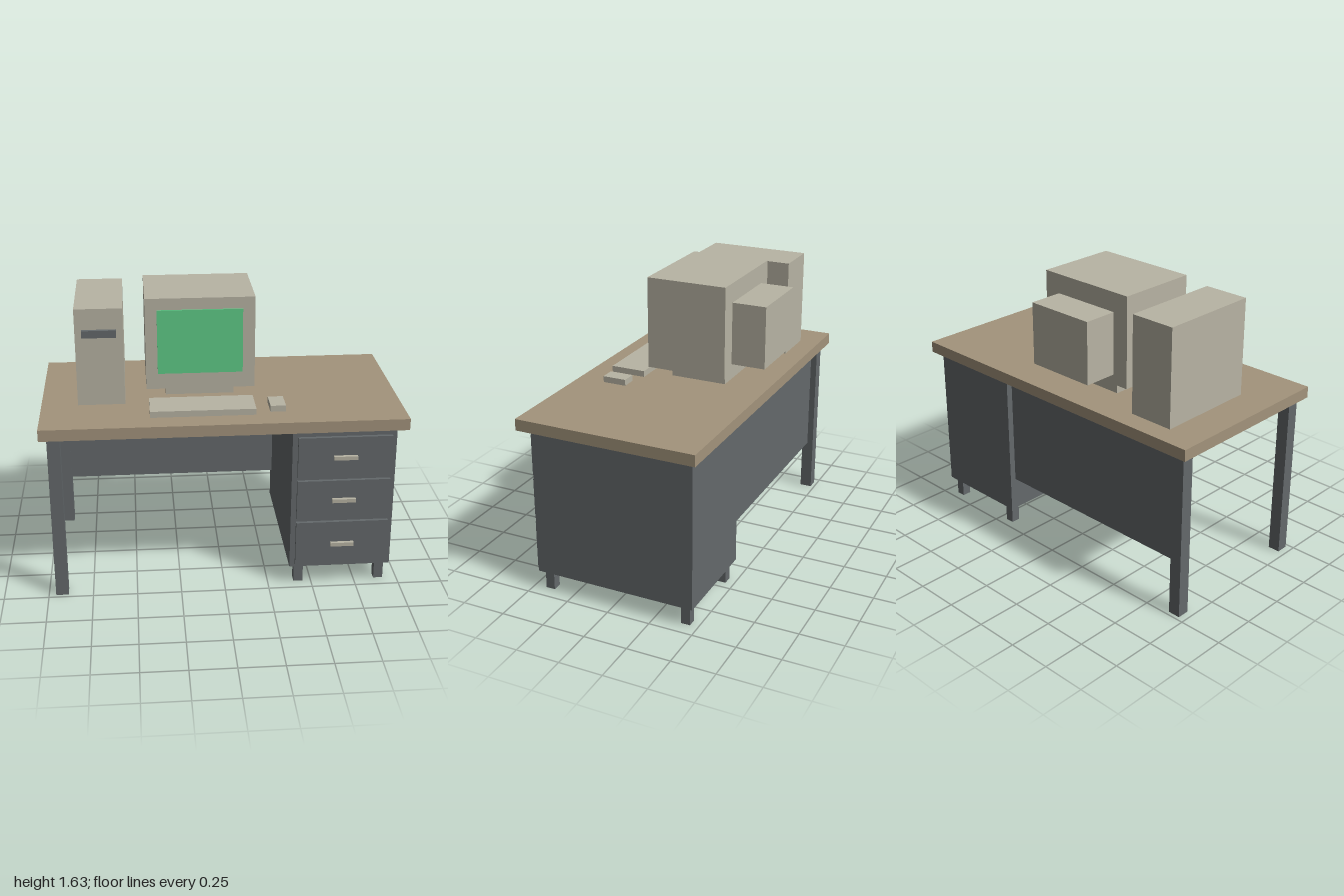
import * as THREE from 'three';

const mat = (name, color) => {
  const m = new THREE.MeshStandardMaterial({ color });
  m.name = name;
  return m;
};

export function createModel() {
  const wood = mat('wood', 0xa3947c);
  const steel = mat('greySteel', 0x64696b);
  const beige = mat('beigePlastic', 0xb8b4a4);
  const green = mat('screenGreen', 0x5fcb87);

  const model = new THREE.Group();
  model.name = 'deskWithComputer';
  const group = (name) => {
    const g = new THREE.Group();
    g.name = name;
    model.add(g);
    return g;
  };

  // Box given by its extents along x, y and z
  const box = (parent, name, material, [x0, x1], [y0, y1], [z0, z1]) => {
    const mesh = new THREE.Mesh(new THREE.BoxGeometry(x1 - x0, y1 - y0, z1 - z0), material);
    mesh.position.set((x0 + x1) / 2, (y0 + y1) / 2, (z0 + z1) / 2);
    mesh.name = name;
    parent.add(mesh);
  };

  const top = 1.035;

  // Desk: top, long legs on the right and a back panel
  const desk = group('desk');
  box(desk, 'deskTop', wood, [-1, 1], [0.97, top], [-0.517, 0.517]);
  box(desk, 'frontLeg', steel, [-0.96, -0.89], [0, 0.97], [0.408, 0.478]);
  box(desk, 'backLeg', steel, [-0.96, -0.89], [0, 0.97], [-0.478, -0.408]);
  box(desk, 'backPanel', steel, [-0.89, 0.37], [0.308, 0.97], [-0.442, -0.412]);

  // Drawer cabinet with short feet
  const cabinet = group('drawerCabinet');
  box(cabinet, 'cabinetBody', steel, [0.37, 0.947], [0.113, 0.97], [-0.478, 0.458]);
  for (const x of [0.4, 0.868])
    for (const z of [-0.453, 0.377])
      box(cabinet, 'cabinetFoot', steel, [x, x + 0.053], [0, 0.113], [z, z + 0.053]);

  // Drawer fronts and handles
  for (const [y0, y1] of [[0.13, 0.402], [0.424, 0.66], [0.685, 0.922]]) {
    const mid = (y0 + y1) / 2;
    box(cabinet, 'drawerFront', steel, [0.4, 0.921], [y0, y1], [0.458, 0.478]);
    box(cabinet, 'drawerHandle', beige, [0.596, 0.728], [mid - 0.011, mid + 0.011], [0.478, 0.498]);
  }

  // Monitor
  const monitor = group('monitor');
  box(monitor, 'monitorBase', beige, [-0.305, 0.082], [top, 1.108], [-0.272, 0.055]);
  box(monitor, 'monitorBody', beige, [-0.415, 0.19], [1.108, 1.63], [-0.315, 0.151]);
  box(monitor, 'monitorBack', beige, [-0.32, 0.092], [1.165, 1.52], [-0.511, -0.315]);
  box(monitor, 'screen', green, [-0.35, 0.122], [1.2, 1.565], [0.151, 0.16]);

  // Computer tower with disk drive
  const tower = group('tower');
  box(tower, 'towerCase', beige, [-0.797, -0.535], [top, 1.59], [-0.4, 0.18]);
  box(tower, 'diskDrive', steel, [-0.76, -0.572], [1.432, 1.473], [0.18, 0.202]);

  // Keyboard and mouse
  box(model, 'keyboard', beige, [-0.403, 0.176], [top, 1.07], [0.188, 0.391]);
  box(model, 'mouse', beige, [0.257, 0.342], [top, 1.07], [0.22, 0.357]);

  return model;
}
